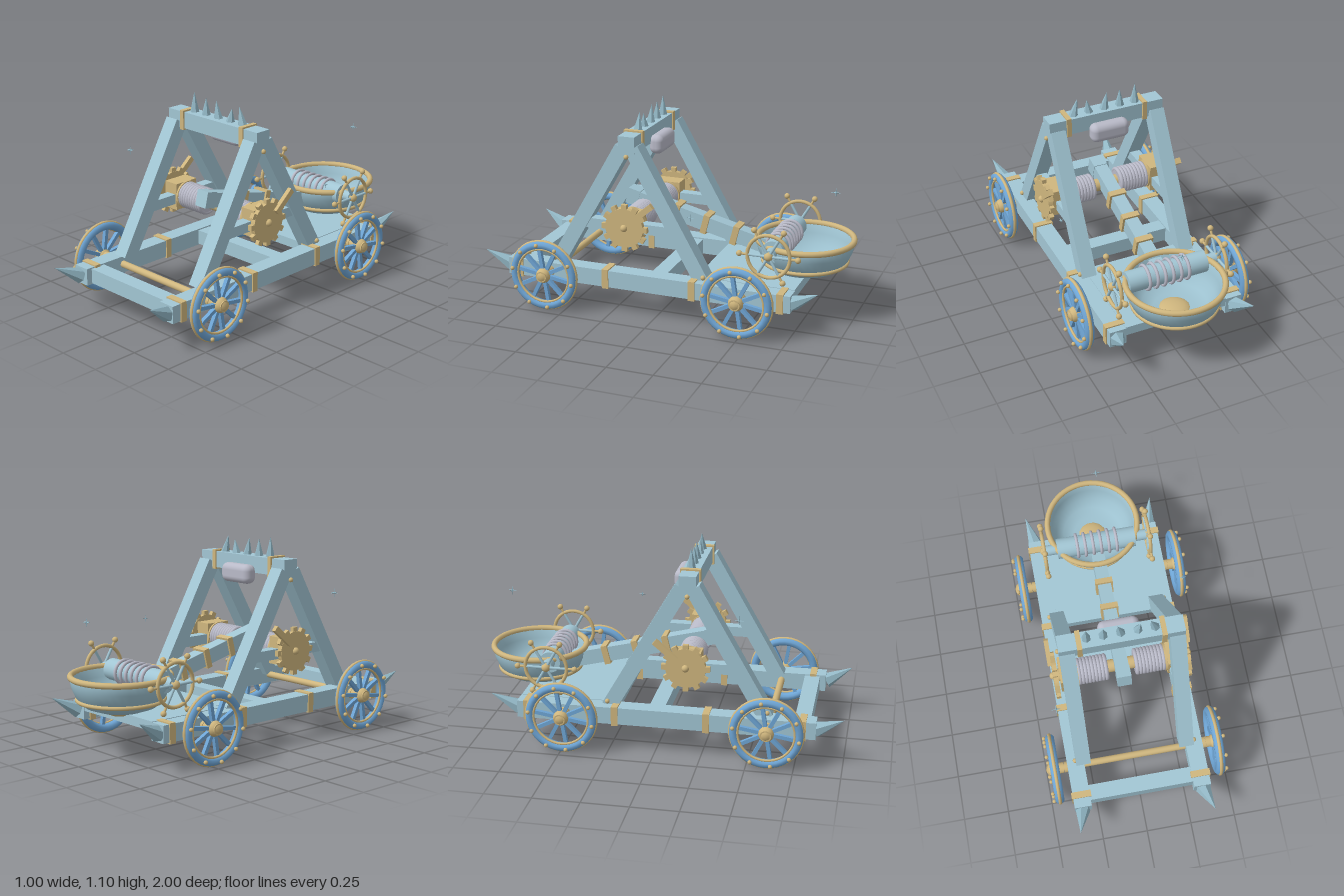
import * as THREE from 'three';
import { RoundedBoxGeometry } from 'three/addons/geometries/RoundedBoxGeometry.js';

const material = (name, color, extra = {}) => {
  const m = new THREE.MeshStandardMaterial({ color, ...extra });
  m.name = name;
  return m;
};

export function createModel() {
  const model = new THREE.Group();
  model.name = 'catapult';
  const wood = material('paleBlueWood', 0xa2c6d4);
  const spikeMat = material('spikeBlue', 0x93b8c6, { flatShading: true });
  const blue = material('wheelBlue', 0x6fa6d6);
  const tan = material('brass', 0xcfb67e);
  const grey = material('ropeGrey', 0xb9bac8);
  const bowlMat = material('bowlBlue', 0x9cc0ce, { side: THREE.DoubleSide });

  const add = (name, geo, mat, pos = [0, 0, 0], rot = [0, 0, 0], parent = model) => {
    const m = new THREE.Mesh(geo, mat);
    m.name = name;
    m.position.set(...pos);
    m.rotation.set(...rot);
    parent.add(m);
    return m;
  };
  const box = (name, mat, size, pos, rot, parent) =>
    add(name, new THREE.BoxGeometry(...size), mat, pos, rot, parent);
  // cylinder lying along x
  const rod = (name, mat, r, len, pos, parent, sides = 24) =>
    add(name, new THREE.CylinderGeometry(r, r, len, sides), mat, pos, [0, 0, Math.PI / 2], parent);
  const ball = (name, r, pos, parent) =>
    add(name, new THREE.SphereGeometry(r, 14, 10), tan, pos, [0, 0, 0], parent);
  // ring around the x axis
  const ring = (name, mat, r, t, x, pos, parent) =>
    add(name, new THREE.TorusGeometry(r, t, 10, 36), mat, [pos[0] + x, pos[1], pos[2]], [0, Math.PI / 2, 0], parent);
  // cone whose base centre and tip are given
  const spike = (name, base, tip, r) => {
    const a = new THREE.Vector3(...base), d = new THREE.Vector3(...tip).sub(a);
    const m = add(name, new THREE.ConeGeometry(r, d.length(), 6), spikeMat);
    m.position.copy(a).addScaledVector(d, 0.5);
    m.quaternion.setFromUnitVectors(new THREE.Vector3(0, 1, 0), d.normalize());
  };
  const sides = [-1, 1];

  // chassis
  for (const s of sides) {
    box('sideRail', wood, [0.094, 0.094, 1.61], [s * 0.333, 0.197, 0.05]);
    for (const z of [0.785, 0.276, -0.217, -0.7])
      box('railBand', tan, [0.108, 0.108, 0.036], [s * 0.333, 0.197, z]);
    spike('frontSpike', [s * 0.338, 0.195, 0.855], [s * 0.372, 0.27, 1.0], 0.044);
    spike('rearSpike', [s * 0.338, 0.195, -0.755], [s * 0.372, 0.275, -0.9], 0.044);
  }
  box('frontCrossBeam', wood, [0.59, 0.082, 0.085], [0, 0.196, 0.78]);
  box('middleCrossBeam', wood, [0.59, 0.082, 0.085], [0, 0.196, 0.0]);
  box('rearDeck', wood, [0.58, 0.05, 0.54], [0, 0.222, -0.482]);

  // wheels and axles
  for (const z of [0.605, -0.49]) {
    rod('axle', tan, 0.019, 0.9, [0, 0.2, z]);
    for (const s of sides) {
      const wheel = new THREE.Group();
      wheel.name = 'wheel';
      wheel.position.set(s * 0.452, 0.2, z);
      wheel.rotation.y = s > 0 ? 0 : Math.PI;
      model.add(wheel);
      ring('rim', blue, 0.172, 0.024, 0, [0, 0, 0], wheel).scale.z = 1.1;
      ring('tyre', tan, 0.19, 0.01, 0, [0, 0, 0], wheel);
      ring('innerRing', tan, 0.15, 0.007, 0.012, [0, 0, 0], wheel);
      rod('hub', tan, 0.03, 0.09, [-0.005, 0, 0], wheel);
      ball('hubCap', 0.042, [0.006, 0, 0], wheel);
      for (let i = 0; i < 10; i++) {
        const a = (i + 0.25) * Math.PI / 5, c = Math.cos(a), n = Math.sin(a);
        box('spoke', blue, [0.022, 0.15, 0.02], [0, c * 0.09, n * 0.09], [a, 0, 0], wheel);
        ball('rimStud', 0.011, [0.032, c * 0.176, n * 0.176], wheel);
      }
      rod('axleCollar', tan, 0.03, 0.018, [s * 0.39, 0.2, z]);
    }
  }

  // A-frames
  const zA = 0.165;
  for (const s of sides) {
    for (const d of sides) {
      const dz = 0.395, dy = 0.69;
      box('frameLeg', wood, [0.082, Math.hypot(dz, dy), 0.082],
        [s * 0.29, 0.575, zA + d * 0.225], [-d * Math.atan2(dz, dy), 0, 0]);
      ball('legStud', 0.013, [s * 0.334, 0.262, zA + d * 0.43]);
    }
    ball('topStud', 0.013, [s * 0.334, 0.877, zA]);
    box('frameBrace', wood, [0.06, 0.055, 0.53], [s * 0.29, 0.483, zA]);
    box('beamBand', tan, [0.026, 0.108, 0.108], [s * 0.222, 0.941, zA]);
  }
  box('topBeam', wood, [0.664, 0.09, 0.092], [0, 0.941, zA]);
  [[-0.18, -0.182, 1.095], [-0.092, -0.092, 1.08], [0, -0.016, 1.08], [0.09, 0.102, 1.06], [0.18, 0.155, 1.08]]
    .forEach(([x, tx, y]) => spike('beamSpike', [x, 0.982, zA - 0.005], [tx, y, zA - 0.005], 0.026));
  add('stopPad', new RoundedBoxGeometry(0.22, 0.105, 0.08, 4, 0.035), grey, [0, 0.888, 0.093]);

  // torsion drum with ropes, bearing blocks, gears and handles
  const yD = 0.497;
  rod('torsionCore', tan, 0.035, 0.74, [0, yD, zA]);
  for (const s of sides) {
    rod('ropeDrum', grey, 0.066, 0.165, [s * 0.157, yD, zA]);
    for (let i = 0; i < 9; i++)
      ring('ropeCoil', grey, 0.063, 0.012, s * (0.085 + i * 0.0185), [0, yD, zA]);
    rod('drumFlange', tan, 0.078, 0.012, [s * 0.245, yD, zA]);
    box('bearingBlock', tan, [0.09, 0.15, 0.15], [s * 0.295, yD, zA]);
    rod('gear', tan, 0.107, 0.026, [s * 0.362, yD, zA], model, 32);
    ball('gearCap', 0.02, [s * 0.374, yD, zA]);
    for (let i = 0; i < 12; i++) {
      const a = i * Math.PI / 6;
      box('gearTooth', tan, [0.024, 0.034, 0.03],
        [s * 0.362, yD + Math.cos(a) * 0.112, zA + Math.sin(a) * 0.112], [a, 0, 0]);
    }
    box('gearHandle', tan, [0.024, 0.15, 0.032], [s * 0.382, 0.592, 0.06], [-0.87, 0, 0]);
  }

  // throwing arm, tilted down toward the bowl
  const arm = new THREE.Group();
  arm.name = 'throwingArm';
  arm.position.set(0, 0.494, 0);
  arm.rotation.x = -0.243;
  model.add(arm);
  box('armBeam', wood, [0.074, 0.082, 0.86], [0, 0, -0.14], [0, 0, 0], arm);
  box('armHead', wood, [0.078, 0.09, 0.07], [0, 0, 0.262], [0, 0, 0], arm);
  for (const z of [0, -0.175, -0.35])
    box('armBand', tan, [0.098, 0.106, 0.034], [0, 0, z], [0, 0, 0], arm);

  // bowl
  const zB = -0.725;
  const profile = [[0, 0.25], [0.12, 0.252], [0.185, 0.275], [0.232, 0.325], [0.255, 0.38], [0.264, 0.432],
    [0.246, 0.432], [0.235, 0.38], [0.21, 0.33], [0.17, 0.29], [0.11, 0.27], [0, 0.268]];
  add('bowl', new THREE.LatheGeometry(profile.map(p => new THREE.Vector2(...p)), 40), bowlMat, [0, 0, zB]);
  const hoop = (name, r, t, y) =>
    add(name, new THREE.TorusGeometry(r, t, 10, 48), tan, [0, y, zB], [Math.PI / 2, 0, 0]);
  hoop('bowlRim', 0.258, 0.016, 0.432);
  hoop('bowlHoop', 0.226, 0.011, 0.311);
  ball('bowlBoss', 0.09, [0, 0.255, zB]).scale.y = 0.38;

  // rear winch with hand wheels
  const zW = -0.61, yW = 0.415;
  rod('winchBarrel', wood, 0.058, 0.45, [0, yW, zW]);
  rod('winchShaft', wood, 0.03, 0.58, [0, yW, zW]);
  for (let i = 0; i < 6; i++) ring('winchCoil', grey, 0.064, 0.009, -0.11 + i * 0.045, [0, yW, zW]);
  for (const s of sides) {
    const hand = new THREE.Group();
    hand.name = 'handWheel';
    hand.position.set(s * 0.3, yW, zW);
    model.add(hand);
    ring('handRim', tan, 0.115, 0.01, 0, [0, 0, 0], hand);
    ball('handHub', 0.024, [0, 0, 0], hand);
    for (let i = 0; i < 6; i++) {
      const a = (i + 0.5) * Math.PI / 3, c = Math.cos(a), n = Math.sin(a);
      add('handSpoke', new THREE.CylinderGeometry(0.008, 0.008, 0.115, 8), wood,
        [0, c * 0.058, n * 0.058], [a, 0, 0], hand);
      add('handGrip', new THREE.CylinderGeometry(0.007, 0.007, 0.05, 8), tan,
        [0, c * 0.135, n * 0.135], [a, 0, 0], hand);
      ball('handKnob', 0.016, [0, c * 0.158, n * 0.158], hand);
    }
  }

  // floating sparkles: three crossed slim diamonds
  for (const p of [[-0.39, 0.785, 0.444], [0.055, 0.72, -0.893], [0.42, 0.618, -0.228]])
    for (let k = 0; k < 3; k++) {
      const r = p[0] > 0.3 ? 0.02 : 0.027;
      const m = add('sparkle', new THREE.OctahedronGeometry(r), spikeMat, p);
      m.scale.set(0.16, 0.16, 0.16).setComponent(k, 1);
    }
  return model;
}
